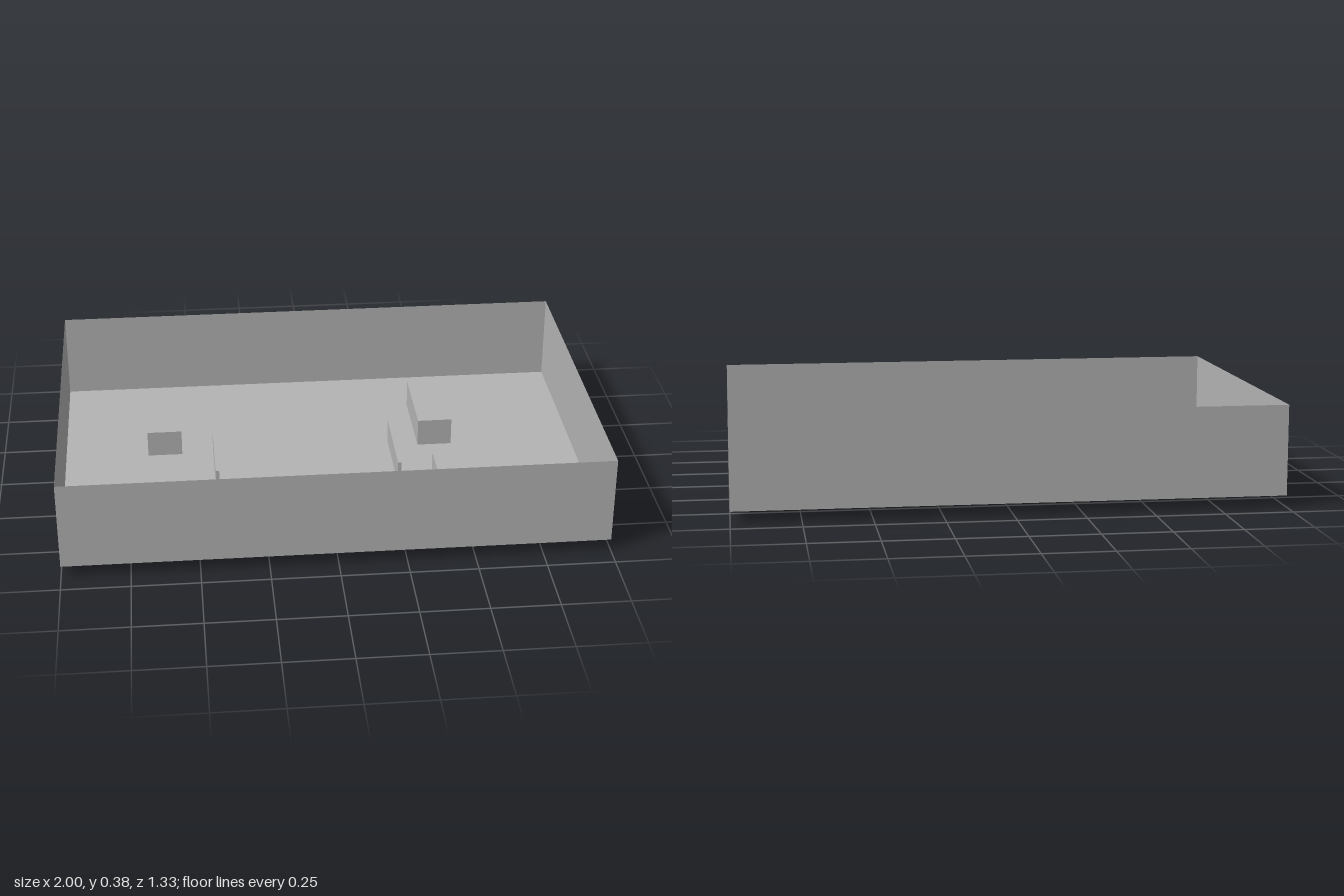
import * as THREE from 'three';

export function createModel() {
  const group = new THREE.Group();
  const grey = new THREE.MeshStandardMaterial({ color: 0xb4b4b4, side: THREE.DoubleSide });
  grey.name = 'grey';

  const W = 2, D = 1.333, H = 0.333, FLOOR = 0.043;

  function add(name, geometry, x, y, z) {
    const mesh = new THREE.Mesh(geometry, grey);
    mesh.name = name;
    mesh.position.set(x, y, z);
    group.add(mesh);
    return mesh;
  }

  // Open tray: a floor and four sheet walls
  add('trayFloor', new THREE.PlaneGeometry(W, D), 0, FLOOR, 0).rotation.x = -Math.PI / 2;
  const wallY = FLOOR + H / 2;
  add('frontWall', new THREE.PlaneGeometry(W, H), 0, wallY, D / 2);
  add('backWall', new THREE.PlaneGeometry(W, H), 0, wallY, -D / 2).rotation.y = Math.PI;
  add('leftWall', new THREE.PlaneGeometry(D, H), W / 2, wallY, 0).rotation.y = Math.PI / 2;
  add('rightWall', new THREE.PlaneGeometry(D, H), -W / 2, wallY, 0).rotation.y = -Math.PI / 2;

  // Four blocks sunk through the floor: name, centre x, underside y, centre z
  const S = 0.133, L = 0.333;
  const blocks = [
    ['backRightBlock', -0.612, 0.012, -0.267],
    ['backLeftBlock', 0.455, 0.018, -0.258],
    ['frontRightBlock', -0.607, 0.025, 0.317],
    ['frontLeftBlock', 0.473, 0.03, 0.345],
  ];
  for (const [name, x, y, z] of blocks) {
    add(name, new THREE.BoxGeometry(S, S, L), x, y + S / 2, z);
  }

  // Two upright slats between the blocks
  for (const [name, x] of [['rightSlat', -0.417], ['leftSlat', 0.28]]) {
    add(name, new THREE.BoxGeometry(0.0133, S, L), x, S / 2, 0.029);
  }

  return group;
}
